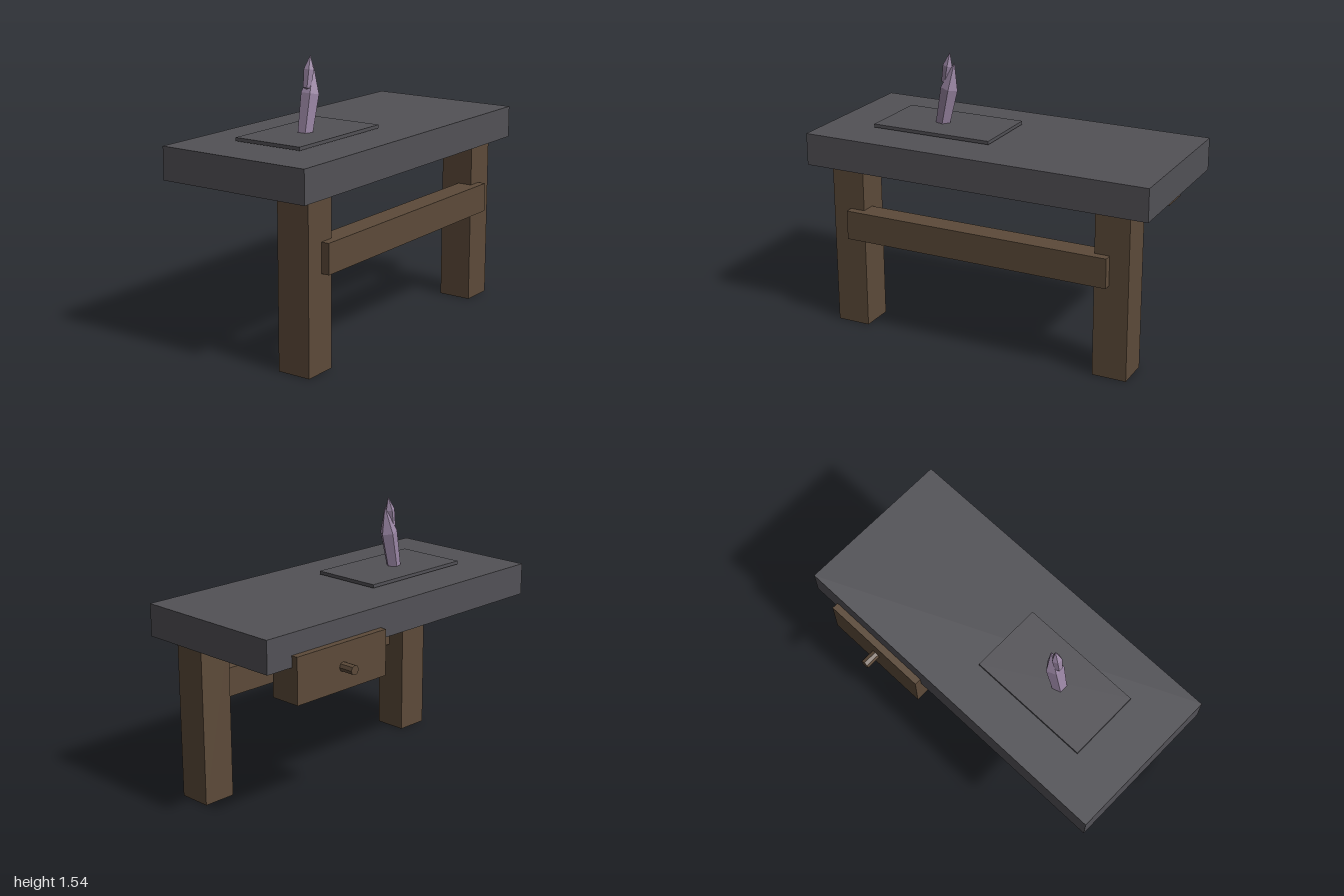
import * as THREE from 'three';

const stone = new THREE.MeshStandardMaterial({ color: 0x525156 });
stone.name = 'dark stone';
const wood = new THREE.MeshStandardMaterial({ color: 0x5c4a39 });
wood.name = 'brown wood';
const violet = new THREE.MeshStandardMaterial({ color: 0x9a86a4 });
violet.name = 'pale violet';

function add(group, name, geometry, material) {
  const mesh = new THREE.Mesh(geometry, material);
  mesh.name = name;
  group.add(mesh);
  return mesh;
}

// Box given by its limits on each axis
function box(group, name, material, [x0, x1], [y0, y1], [z0, z1]) {
  const mesh = add(group, name, new THREE.BoxGeometry(x1 - x0, y1 - y0, z1 - z0), material);
  mesh.position.set((x0 + x1) / 2, (y0 + y1) / 2, (z0 + z1) / 2);
  return mesh;
}

// Five-sided faceted shard: base, shoulder, point
function shard(group, name, base, tip, baseRadius, shoulderRadius, shoulder) {
  const axis = tip.clone().sub(base);
  const length = axis.length();
  const profile = [[0, 0], [baseRadius, 0.01], [shoulderRadius, length * shoulder], [0, length]]
    .map(([r, y]) => new THREE.Vector2(r, y));
  const geometry = new THREE.LatheGeometry(profile, 5, Math.PI / 2).toNonIndexed();
  geometry.computeVertexNormals();
  const mesh = add(group, name, geometry, violet);
  mesh.position.copy(base);
  mesh.rotation.z = -Math.atan2(axis.x, axis.y);
}

export function createModel() {
  const table = new THREE.Group();
  table.name = 'workTable';

  box(table, 'tableTop', stone, [-1, 1], [0.932, 1.112], [-0.39, 0.51]);

  // Two legs along the front edge, joined by a rail
  for (const [name, x] of [['rightLeg', -0.785], ['leftLeg', 0.785]]) {
    box(table, name, wood, [x - 0.096, x + 0.096], [0, 0.94], [0.252, 0.443]);
  }
  box(table, 'frontRail', wood, [-0.773, 0.773], [0.525, 0.69], [0.36, 0.488]);

  // Drawer at the back with its knob
  box(table, 'drawer', wood, [0.195, 0.835], [0.74, 0.995], [-0.428, -0.25]);
  const knob = add(table, 'drawerKnob', new THREE.CylinderGeometry(0.027, 0.027, 0.1, 8).toNonIndexed(), wood);
  knob.geometry.computeVertexNormals();
  knob.rotation.x = Math.PI / 2;
  knob.position.set(0.513, 0.868, -0.462);

  // Thin slab hovering just above the top, pierced by the crystal
  box(table, 'slab', stone, [-0.715, -0.008], [1.119, 1.138], [-0.145, 0.267]);
  const crystal = new THREE.Group();
  crystal.name = 'crystal';
  shard(crystal, 'mainShard', new THREE.Vector3(-0.398, 1.112, 0.062), new THREE.Vector3(-0.318, 1.487, 0.062), 0.041, 0.05, 0.6);
  shard(crystal, 'smallShard', new THREE.Vector3(-0.378, 1.36, 0.062), new THREE.Vector3(-0.345, 1.54, 0.062), 0.022, 0.028, 0.58);
  table.add(crystal);

  return table;
}
